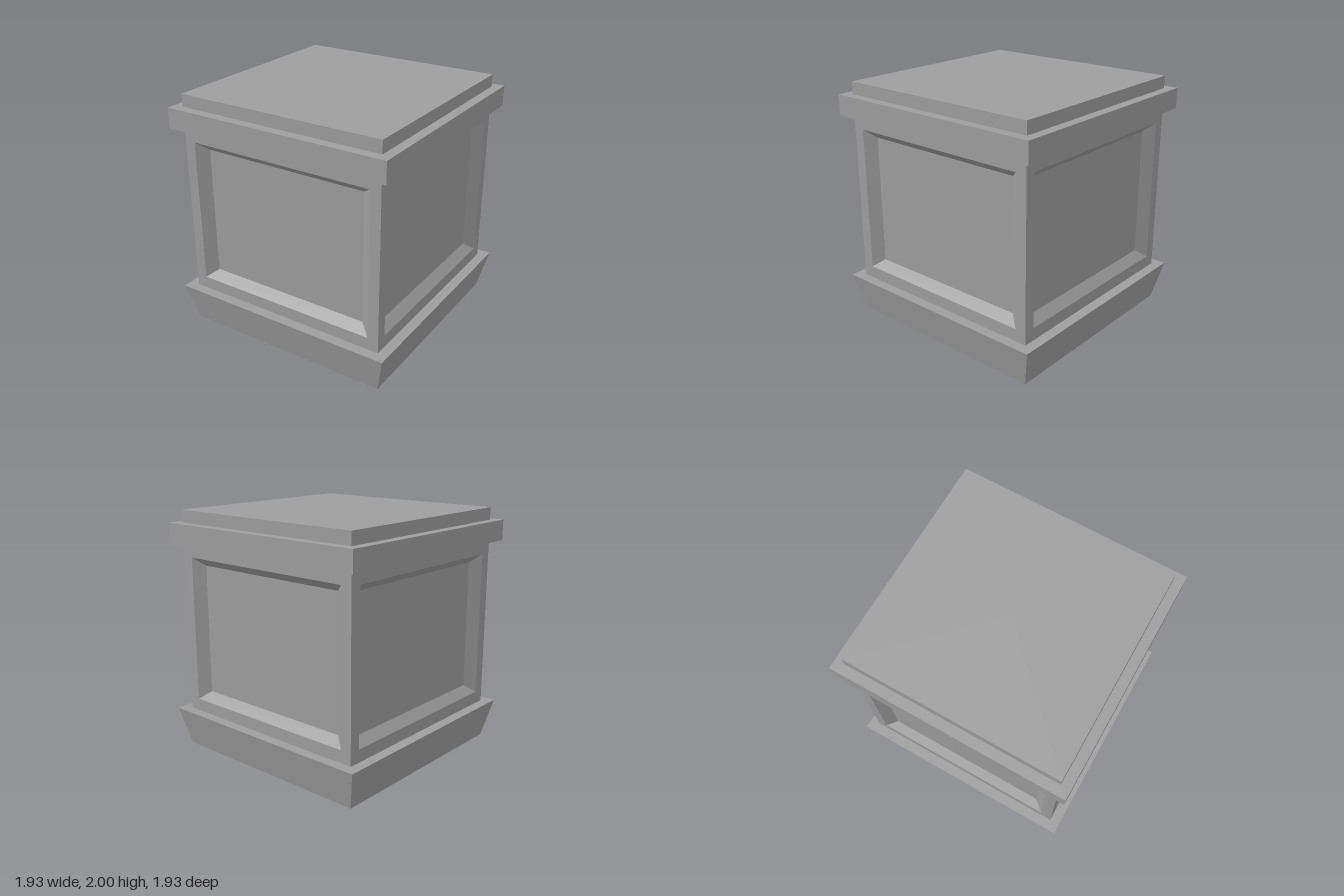
import * as THREE from 'three';

const material = new THREE.MeshStandardMaterial({ color: 0x9e9e9e, flatShading: true });

function addMesh(parent, name, geometry) {
  const mesh = new THREE.Mesh(geometry, material);
  mesh.name = name;
  parent.add(mesh);
  return mesh;
}

// Square block between two heights; half widths may differ to taper it
function squareBlock(halfBottom, halfTop, y0, y1) {
  const geometry = new THREE.CylinderGeometry(halfTop * Math.SQRT2, halfBottom * Math.SQRT2, y1 - y0, 4);
  return geometry.rotateY(Math.PI / 4).translate(0, (y0 + y1) / 2, 0);
}

// Wall with a sunken panel: nested rectangles joined by quads, then capped
function panelWall(rings) {
  const positions = [];
  const index = [];
  for (const { x, y0, y1, z } of rings) {
    positions.push(-x, y0, z, x, y0, z, x, y1, z, -x, y1, z);
  }
  for (let r = 0; r < rings.length - 1; r++) {
    for (let i = 0; i < 4; i++) {
      const a = r * 4 + i;
      const b = r * 4 + ((i + 1) % 4);
      index.push(a, b, b + 4, a, b + 4, a + 4);
    }
  }
  const c = (rings.length - 1) * 4;
  index.push(c, c + 1, c + 2, c, c + 2, c + 3);
  const geometry = new THREE.BufferGeometry();
  geometry.setAttribute('position', new THREE.Float32BufferAttribute(positions, 3));
  geometry.setIndex(index);
  const flat = geometry.toNonIndexed();
  flat.computeVertexNormals();
  return flat;
}

export function createModel() {
  const group = new THREE.Group();
  group.name = 'pedestal';

  // Flared foot
  addMesh(group, 'base', squareBlock(0.892, 0.966, 0, 0.32));

  // Four identical walls: frame, sloped recess edge, sunken panel
  const body = new THREE.Group();
  body.name = 'body';
  group.add(body);
  const wall = panelWall([
    { x: 0.882, y0: 0.32, y1: 1.728, z: 0.882 },
    { x: 0.79, y0: 0.422, y1: 1.625, z: 0.882 },
    { x: 0.702, y0: 0.49, y1: 1.56, z: 0.81 },
  ]);
  ['front', 'left', 'back', 'right'].forEach((side, i) => {
    addMesh(body, side + 'Wall', wall).rotation.y = (i * Math.PI) / 2;
  });

  // Overhanging moulding and top slab
  addMesh(group, 'cornice', squareBlock(0.961, 0.961, 1.728, 1.898));
  addMesh(group, 'topSlab', squareBlock(0.882, 0.882, 1.898, 2));

  return group;
}
